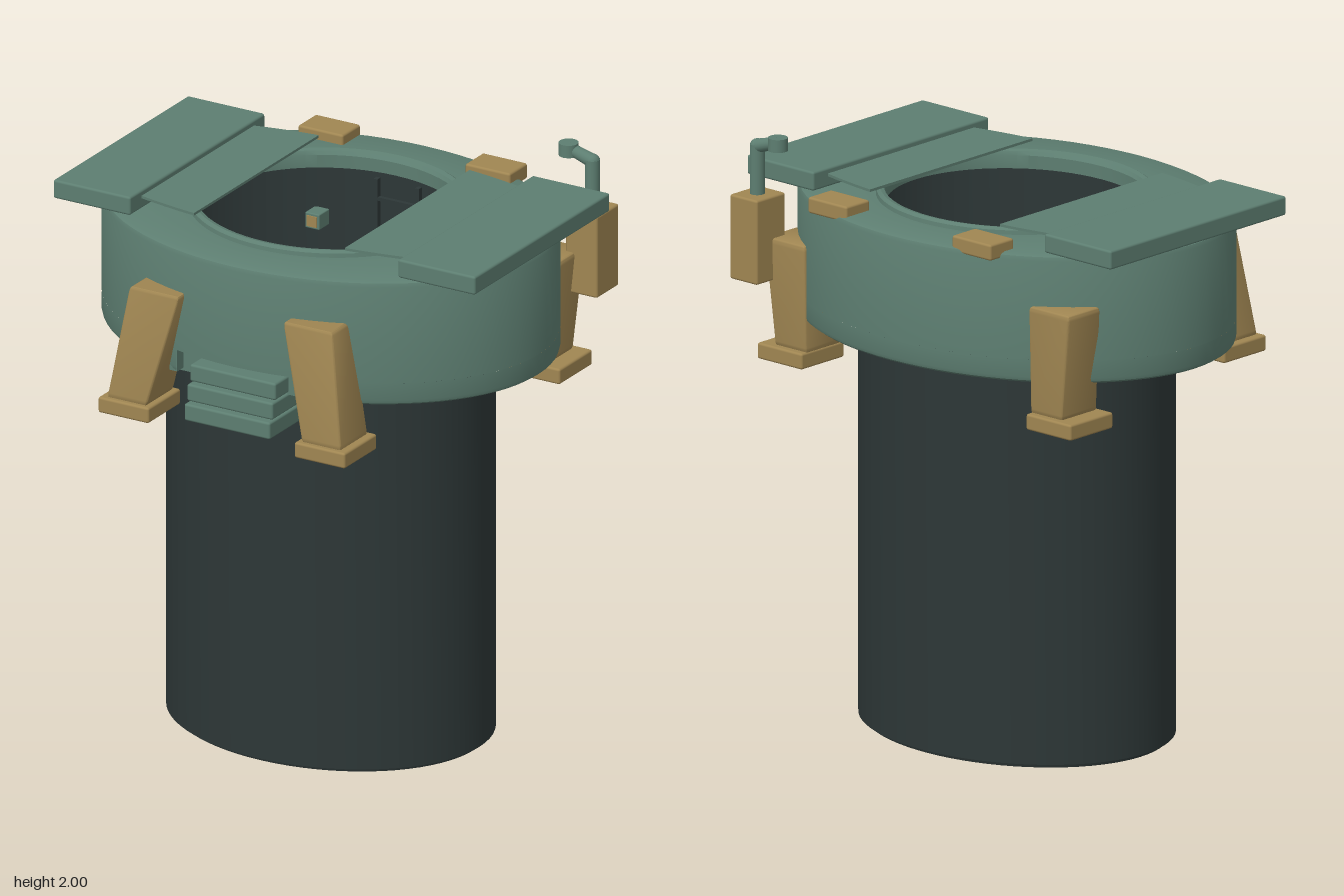
import * as THREE from 'three';
import { toCreasedNormals } from 'three/addons/utils/BufferGeometryUtils.js';
import { RoundedBoxGeometry } from 'three/addons/geometries/RoundedBoxGeometry.js';

const CZ = -0.04; // z centre of the oval body

// Surface through oval sections [rx, rz, y]; start and sweep are angles measured from +z
function loft(sections, start = 0, sweep = Math.PI * 2, segments = 72) {
  const pos = [], index = [], n = segments + 1;
  for (const [rx, rz, y] of sections) {
    for (let i = 0; i <= segments; i++) {
      const a = start + (sweep * i) / segments;
      pos.push(rx * Math.sin(a), y, CZ + rz * Math.cos(a));
    }
  }
  for (let j = 0; j < sections.length - 1; j++) {
    for (let i = 0; i < segments; i++) {
      const a = j * n + i, c = a + n;
      index.push(a, a + 1, c, a + 1, c + 1, c);
    }
  }
  const g = new THREE.BufferGeometry();
  g.setAttribute('position', new THREE.Float32BufferAttribute(pos, 3));
  g.setIndex(index);
  return toCreasedNormals(g, 0.5);
}

// Softly bevelled box given by its limits
function block(x0, x1, y0, y1, z0, z1, r = 0.008) {
  const g = new RoundedBoxGeometry(x1 - x0, y1 - y0, z1 - z0, 2, r);
  return g.translate((x0 + x1) / 2, (y0 + y1) / 2, (z0 + z1) / 2);
}

// Bevelled leg tapering between two rectangles [x0, x1, z0, z1]
function taper(bottom, top, y0, y1) {
  const g = new RoundedBoxGeometry(1, 1, 1, 2, 0.05);
  const p = g.attributes.position;
  const mix = THREE.MathUtils.lerp;
  for (let i = 0; i < p.count; i++) {
    const t = p.getY(i) + 0.5;
    const [x0, x1, z0, z1] = bottom.map((v, k) => mix(v, top[k], t));
    p.setXYZ(i, mix(x0, x1, p.getX(i) + 0.5), mix(y0, y1, t), mix(z0, z1, p.getZ(i) + 0.5));
  }
  return toCreasedNormals(g, 0.6);
}

export function createModel() {
  const model = new THREE.Group();
  const material = (name, color) => {
    const m = new THREE.MeshStandardMaterial({ color });
    m.name = name;
    return m;
  };
  const green = material('green armour', 0x5d7e71);
  const tan = material('tan fittings', 0xa08652);
  const dark = material('dark shaft', 0x2d3737);

  const add = (name, geometry, mat, parent = model) => {
    const mesh = new THREE.Mesh(geometry, mat);
    mesh.name = name;
    parent.add(mesh);
    return mesh;
  };

  // Hollow shaft
  add('shaft', loft([
    [0.001, 0.001, 0], [0.55, 0.44, 0], [0.553, 0.444, 0.012], [0.57, 0.46, 0.015], [0.57, 0.46, 1.78],
    [0.55, 0.445, 1.78], [0.55, 0.445, 0.03], [0.001, 0.001, 0.03],
  ]), dark);

  // Collar: upper ring with rounded opening lip
  add('collar', loft([
    [0.55, 0.44, 1.46], [0.8, 0.615, 1.46], [0.8, 0.615, 1.8], [0.795, 0.61, 1.813], [0.78, 0.596, 1.82],
    [0.475, 0.452, 1.82], [0.472, 0.45, 1.834], [0.462, 0.437, 1.842], [0.452, 0.42, 1.838],
    [0.45, 0.41, 1.825], [0.45, 0.41, 1.78], [0.56, 0.455, 1.78],
  ]), green);

  // Lower band of the collar, open at the front for the step recess
  const gap = Math.asin(0.24 / 0.8);
  add('collarLowerBand', loft([
    [0.55, 0.44, 1.38], [0.785, 0.6, 1.38], [0.797, 0.611, 1.388], [0.8, 0.615, 1.4], [0.8, 0.615, 1.46],
  ], gap, Math.PI * 2 - 2 * gap), green);
  add('recessBack', new THREE.BoxGeometry(0.5, 0.1, 0.18).translate(0, 1.42, 0.41), green);

  // Front steps
  for (let i = 0; i < 3; i++) {
    const y = 1.25 + i * 0.0635;
    add('step', block(-0.165, 0.165, y, y + 0.06, 0.4, 0.62 - i * 0.018), green);
  }

  // Ladder on the inner rear wall
  const ladder = new THREE.Group();
  ladder.name = 'shaftLadder';
  model.add(ladder);
  for (const x of [-0.08, 0.08]) {
    add('ladderRail', new THREE.BoxGeometry(0.015, 1.7, 0.02).translate(x, 0.9, -0.462), dark, ladder);
  }
  for (let i = 0; i < 14; i++) {
    add('ladderRung', new THREE.BoxGeometry(0.16, 0.012, 0.015).translate(0, 0.12 + i * 0.12, -0.462), dark, ladder);
  }

  // Mirrored fittings
  for (const s of [-1, 1]) {
    const span = (a, b) => (s > 0 ? [a, b] : [-b, -a]);

    // Open hatch door
    add('hatchDoor', block(...span(0.515, 0.812), 1.82, 1.885, -0.47, 0.385), green);

    // Thin sliding panel with curved ends
    const panel = new THREE.Shape();
    panel.moveTo(s * 0.29, 0.439);
    panel.quadraticCurveTo(s * 0.41, 0.426, s * 0.53, 0.396);
    panel.lineTo(s * 0.53, -0.308);
    panel.quadraticCurveTo(s * 0.41, -0.337, s * 0.29, -0.35);
    panel.closePath();
    const panelGeo = new THREE.ExtrudeGeometry(panel, { depth: 0.009, bevelEnabled: false, curveSegments: 8 });
    add('hatchPanel', panelGeo.rotateX(-Math.PI / 2).translate(0, 1.857, 0), green);

    // Side wall of the step recess
    add('recessSide', new THREE.BoxGeometry(0.03, 0.08, 0.18).translate(s * 0.255, 1.42, 0.449), green);

    // Front leg and foot
    add('frontFoot', block(...span(0.28, 0.475), 1.225, 1.28, 0.45, 0.655), tan);
    add('frontLeg', taper([...span(0.3, 0.45), 0.465, 0.64], [...span(0.2, 0.39), 0.47, 0.595], 1.275, 1.67), tan);

    // Rear leg and foot
    add('rearFoot', block(...span(0.5, 0.7), 1.225, 1.28, -0.543, -0.335), tan);
    add('rearLeg', taper([...span(0.5, 0.64), -0.52, -0.35], [...span(0.5, 0.68), -0.53, -0.375], 1.275, 1.645), tan);

    // Rear roof block
    add('roofBlock', block(...span(0.235, 0.408), 1.8, 1.855, -0.614, -0.5), tan);

    // Bracket inside the shaft
    add('shaftBracket', block(...span(0.24, 0.295), 1.565, 1.62, -0.425, -0.36, 0.004), green);
    add('bracketPlate', new THREE.BoxGeometry(0.038, 0.038, 0.006).translate(s * 0.2675, 1.592, -0.359), tan);
  }

  // Periscope on its side box
  const periscope = new THREE.Group();
  periscope.name = 'periscope';
  model.add(periscope);
  add('periscopeBox', block(0.643, 0.765, 1.5, 1.79, -0.605, -0.465), tan, periscope);
  add('periscopeMast', new THREE.CylinderGeometry(0.025, 0.025, 0.18, 20).translate(0.705, 1.87, -0.535), green, periscope);
  add('periscopeElbow', new THREE.SphereGeometry(0.025, 20, 12).translate(0.705, 1.953, -0.535), green, periscope);
  const arm = add('periscopeArm', new THREE.CylinderGeometry(0.02, 0.024, 0.1, 20), green, periscope);
  arm.position.set(0.66, 1.967, -0.535);
  arm.rotation.z = 1.27;
  add('periscopeHead', new THREE.CylinderGeometry(0.033, 0.033, 0.044, 24).translate(0.613, 1.978, -0.535), green, periscope);

  return model;
}
